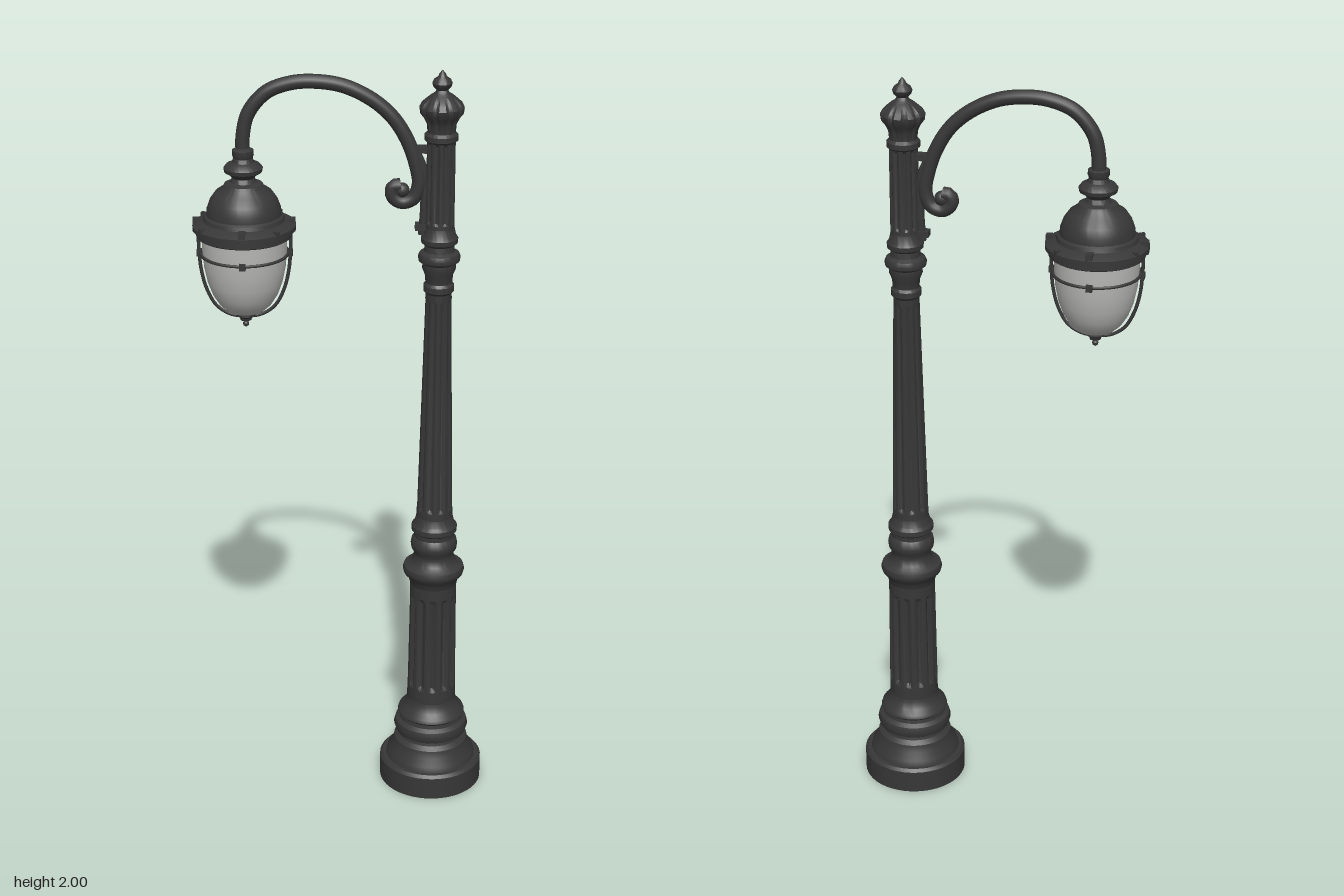
import * as THREE from 'three';
import { toCreasedNormals } from 'three/addons/utils/BufferGeometryUtils.js';

const POST_X = 0.24, LAMP_X = -0.25;

export function createModel() {
  const model = new THREE.Group();
  model.name = 'streetLamp';
  const iron = new THREE.MeshStandardMaterial({ color: 0x373737 });
  iron.name = 'darkIron';
  const glass = new THREE.MeshStandardMaterial({ color: 0xb8b8b6 });
  glass.name = 'frostedGlass';

  const post = new THREE.Group();
  post.name = 'post';
  post.position.x = POST_X;
  const arm = new THREE.Group();
  arm.name = 'arm';
  const lantern = new THREE.Group();
  lantern.name = 'lantern';
  lantern.position.x = LAMP_X;
  model.add(post, arm, lantern);

  const add = (parent, name, geometry, material = iron) => {
    const mesh = new THREE.Mesh(geometry, material);
    mesh.name = name;
    parent.add(mesh);
    return mesh;
  };
  // Turned part from [radius, height] pairs, bottom to top
  const turned = (profile, segments = 48) =>
    new THREE.LatheGeometry(profile.map(([r, y]) => new THREE.Vector2(r, y)), segments);
  const creased = (g, angle = 0.6) => toCreasedNormals(g, angle);

  // Scales the radius of every vertex by a rule of angle and height
  const reshape = (g, rule) => {
    const p = g.attributes.position;
    for (let i = 0; i < p.count; i++) {
      const k = rule(Math.atan2(p.getZ(i), p.getX(i)), p.getY(i));
      p.setX(i, p.getX(i) * k);
      p.setZ(i, p.getZ(i) * k);
    }
    g.computeVertexNormals();
    return g;
  };

  // Shaft with grooves that stop short of both ends
  const flutedShaft = (name, y0, y1, r0, r1, flutes, depth, margin) => {
    const heights = [y0, y0 + margin, y0 + margin * 1.3, y1 - margin * 1.3, y1 - margin, y1];
    const profile = heights.map(y => [r0 + (r1 - r0) * (y - y0) / (y1 - y0), y]);
    const g = reshape(turned(profile, flutes * 8), (a, y) => {
      const inside = y > y0 + margin * 1.1 && y < y1 - margin * 1.1;
      return inside ? 1 - depth * Math.max(0, Math.cos(flutes * a) + 0.35) : 1;
    });
    add(post, name, creased(g, 0.5));
  };

  // Post from the ground up
  add(post, 'base', creased(turned([
    [0, 0], [0.139, 0], [0.139, 0.062], [0.132, 0.07], [0.122, 0.07], [0.118, 0.085],
    [0.104, 0.105], [0.1, 0.125], [0.088, 0.135], [0.086, 0.143], [0.096, 0.15], [0.101, 0.165],
    [0.097, 0.18], [0.086, 0.188], [0.084, 0.198], [0.091, 0.205], [0.088, 0.214],
    [0.075, 0.226], [0.067, 0.245], [0.065, 0.26]])));
  flutedShaft('lowerShaft', 0.25, 0.61, 0.066, 0.062, 12, 0.1, 0.04);
  add(post, 'middleCollar', creased(turned([
    [0.062, 0.6], [0.066, 0.613], [0.07, 0.622], [0.079, 0.632], [0.082, 0.643], [0.079, 0.654],
    [0.066, 0.66], [0.058, 0.668], [0.053, 0.685], [0.054, 0.695], [0.06, 0.705], [0.062, 0.718],
    [0.059, 0.732], [0.053, 0.74], [0.053, 0.752], [0.06, 0.758], [0.06, 0.772],
    [0.053, 0.78], [0.048, 0.8]])));
  flutedShaft('middleShaft', 0.79, 1.44, 0.048, 0.033, 10, 0.1, 0.03);
  add(post, 'upperCollar', creased(turned([
    [0.033, 1.425], [0.039, 1.432], [0.039, 1.447], [0.034, 1.454], [0.036, 1.475], [0.043, 1.492],
    [0.042, 1.505], [0.052, 1.512], [0.054, 1.522], [0.05, 1.532], [0.039, 1.538], [0.037, 1.553],
    [0.046, 1.56], [0.047, 1.572], [0.041, 1.58], [0.037, 1.6]])));
  flutedShaft('upperShaft', 1.59, 1.84, 0.037, 0.036, 10, 0.12, 0.02);

  // Cap with a scalloped rim and a pointed finial
  const cap = turned([
    [0.036, 1.82], [0.042, 1.825], [0.042, 1.838], [0.035, 1.845], [0.037, 1.865], [0.044, 1.88],
    [0.054, 1.893], [0.056, 1.907], [0.05, 1.918], [0.04, 1.927], [0.028, 1.937], [0.018, 1.943],
    [0.014, 1.95], [0.022, 1.958], [0.025, 1.967], [0.021, 1.976], [0.011, 1.983], [0.008, 1.99], [0, 2]], 80);
  add(post, 'cap', creased(reshape(cap, (a, y) =>
    y > 1.86 && y < 1.93 ? 1 - 0.1 * Math.max(0, Math.cos(10 * a)) : 1)));

  // Arched arm ending in a scroll
  const path = (points, z = 0) => new THREE.CatmullRomCurve3(
    points.map(([x, y, dz = z]) => new THREE.Vector3(x, y, dz)));
  add(arm, 'arch', new THREE.TubeGeometry(path([
    [-0.25, 1.775, -0.005], [-0.25, 1.83, -0.005], [-0.235, 1.89, -0.005], [-0.19, 1.942, -0.005],
    [-0.13, 1.965, -0.004], [-0.07, 1.969, -0.003], [0, 1.958, -0.002], [0.07, 1.924, -0.001],
    [0.12, 1.88], [0.155, 1.825], [0.177, 1.765], [0.186, 1.71], [0.172, 1.674], [0.143, 1.664],
    [0.12, 1.682], [0.123, 1.704], [0.142, 1.707]]), 110, 0.018, 14));
  const scrollEye = add(arm, 'scrollEye', new THREE.SphereGeometry(0.019, 16, 12));
  scrollEye.position.set(0.144, 1.695, 0);

  // Strip fixing the arm to the post
  add(arm, 'mountingStrip', new THREE.TubeGeometry(path([
    [0.176, 1.795], [0.193, 1.76], [0.2, 1.7], [0.2, 1.64], [0.196, 1.58]]), 24, 0.011, 10));
  for (const y of [1.6, 1.8]) {
    const bracket = add(arm, 'bracket', new THREE.BoxGeometry(0.045, 0.016, 0.026));
    bracket.position.set(0.2, y, 0);
  }

  // Lantern hood, neck and brim
  add(lantern, 'hood', creased(turned([
    [0, 1.588], [0.112, 1.588], [0.116, 1.575], [0.121, 1.578], [0.121, 1.592], [0.13, 1.595],
    [0.13, 1.606], [0.116, 1.613], [0.103, 1.618], [0.1, 1.628], [0.094, 1.632], [0.093, 1.648],
    [0.085, 1.67], [0.071, 1.69], [0.052, 1.703], [0.048, 1.711], [0.033, 1.716], [0.028, 1.727],
    [0.035, 1.735], [0.047, 1.742], [0.049, 1.752], [0.042, 1.761], [0.028, 1.767], [0.024, 1.777],
    [0.027, 1.785], [0.027, 1.797], [0.018, 1.802], [0, 1.802]], 56)));

  // Latches on the brim: four large, four small
  const latch = (name, degrees, radius, w, h) => {
    const a = THREE.MathUtils.degToRad(degrees);
    const m = add(lantern, name, new THREE.BoxGeometry(w * 1.4, h, w));
    m.position.set(Math.cos(a) * radius, 1.605, Math.sin(a) * radius);
    m.rotation.y = -a;
  };
  for (const d of [0, 90, 180, 270]) latch('largeLatch', d, 0.117, 0.017, 0.034);
  for (const d of [47, 145, 212, 313]) latch('smallLatch', d, 0.124, 0.01, 0.02);

  // Glass bowl
  add(lantern, 'glassBowl', turned([
    [0, 1.368], [0.025, 1.37], [0.047, 1.378], [0.066, 1.395], [0.083, 1.422], [0.095, 1.455],
    [0.103, 1.495], [0.107, 1.54], [0.108, 1.592]], 48), glass);

  // Cage: ring, two side ribs and small studs
  const ring = add(lantern, 'cageRing', new THREE.TorusGeometry(0.11, 0.004, 8, 56));
  ring.rotation.x = Math.PI / 2;
  ring.position.y = 1.53;
  for (const s of [-1, 1]) {
    add(lantern, 'cageRib', new THREE.TubeGeometry(path([
      [s * 0.116, 1.59], [s * 0.115, 1.53], [s * 0.11, 1.48], [s * 0.097, 1.43],
      [s * 0.074, 1.388], [s * 0.04, 1.365], [0, 1.358]]), 32, 0.0045, 8));
  }
  for (let i = 0; i < 4; i++) {
    const a = i * Math.PI / 2;
    const stud = add(lantern, 'ringStud', new THREE.BoxGeometry(0.012, 0.016, 0.016));
    stud.position.set(Math.cos(a) * 0.115, 1.53, Math.sin(a) * 0.115);
    stud.rotation.y = -a;
  }
  add(lantern, 'bottomFinial', creased(turned([
    [0, 1.33], [0.007, 1.335], [0.008, 1.341], [0.005, 1.346], [0.014, 1.35], [0.016, 1.357],
    [0.025, 1.363], [0.024, 1.37], [0, 1.372]], 20)));

  return model;
}
